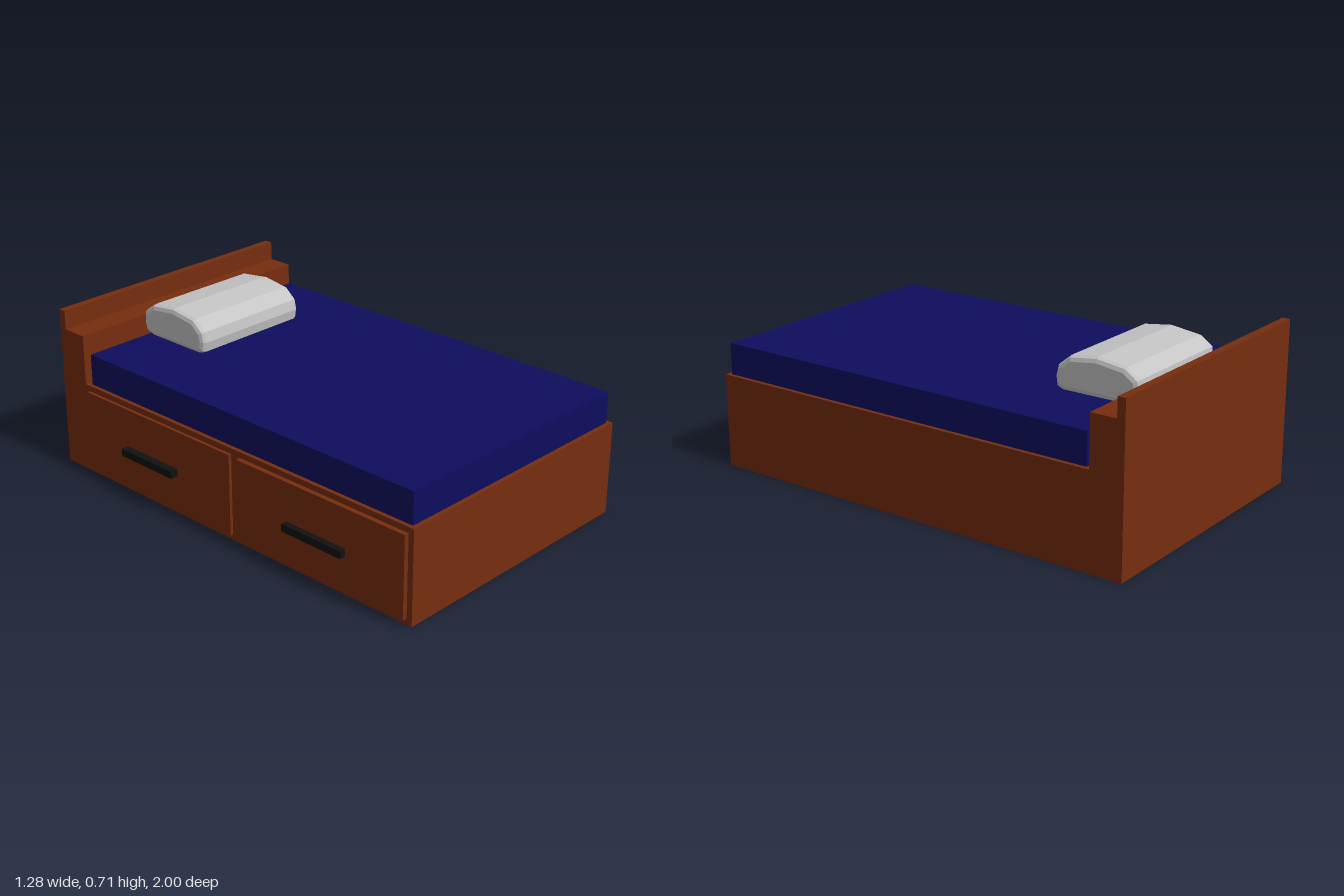
import * as THREE from 'three';

const wood = new THREE.MeshStandardMaterial({ name: 'wood', color: 0x762d0e });
const blue = new THREE.MeshStandardMaterial({ name: 'blueFabric', color: 0x0d0d5e });
const white = new THREE.MeshStandardMaterial({ name: 'pillowFabric', color: 0xc4c4c4, flatShading: true });
const black = new THREE.MeshStandardMaterial({ name: 'blackHandle', color: 0x111111 });

function add(group, name, geometry, material) {
  const mesh = new THREE.Mesh(geometry, material);
  mesh.name = name;
  group.add(mesh);
  return mesh;
}

// Box given by its limits on each axis
function box(x0, x1, y0, y1, z0, z1) {
  return new THREE.BoxGeometry(x1 - x0, y1 - y0, z1 - z0)
    .translate((x0 + x1) / 2, (y0 + y1) / 2, (z0 + z1) / 2);
}

// Side profile of [z, y] points, extruded across x with optional bevelled ends
function acrossX(points, x0, x1, bevel = 0) {
  const shape = new THREE.Shape(points.map(([z, y]) => new THREE.Vector2(-z, y)));
  return new THREE.ExtrudeGeometry(shape, {
    depth: x1 - x0 - 2 * bevel,
    bevelEnabled: bevel > 0,
    bevelThickness: bevel,
    bevelSize: bevel,
    bevelOffset: -bevel,
    bevelSegments: 2,
  }).rotateY(Math.PI / 2).translate(x0 + bevel, 0, 0);
}

export function createModel() {
  const bed = new THREE.Group();
  bed.name = 'bed';

  // Base, stepped shelf and headboard in one profile
  add(bed, 'frame', acrossX([
    [1, 0], [1, 0.41], [-0.85, 0.41], [-0.85, 0.63],
    [-0.965, 0.63], [-0.965, 0.713], [-1, 0.713], [-1, 0],
  ], -0.593, 0.638), wood);

  add(bed, 'mattress', box(-0.575, 0.62, 0.41, 0.548, -0.827, 0.98), blue);

  // Faceted pillow
  add(bed, 'pillow', acrossX([
    [-0.5, 0.549], [-0.472, 0.562], [-0.465, 0.605], [-0.475, 0.65],
    [-0.53, 0.695], [-0.655, 0.712], [-0.785, 0.695], [-0.842, 0.655],
    [-0.848, 0.6], [-0.835, 0.562], [-0.79, 0.549],
  ], -0.26, 0.31, 0.022), white);

  // Two drawers with bar handles on the right side
  const drawers = [
    { z0: -0.825, z1: 0.05, face: -0.607, h0: -0.57, h1: -0.26 },
    { z0: 0.1, z1: 0.975, face: -0.614, h0: 0.375, h1: 0.685 },
  ];
  for (const { z0, z1, face, h0, h1 } of drawers) {
    const drawer = new THREE.Group();
    drawer.name = 'drawer';
    add(drawer, 'drawerFront', box(face, -0.59, 0.025, 0.385, z0, z1), wood);
    add(drawer, 'drawerHandle', box(-0.642, face + 0.002, 0.182, 0.215, h0, h1), black);
    bed.add(drawer);
  }
  return bed;
}
